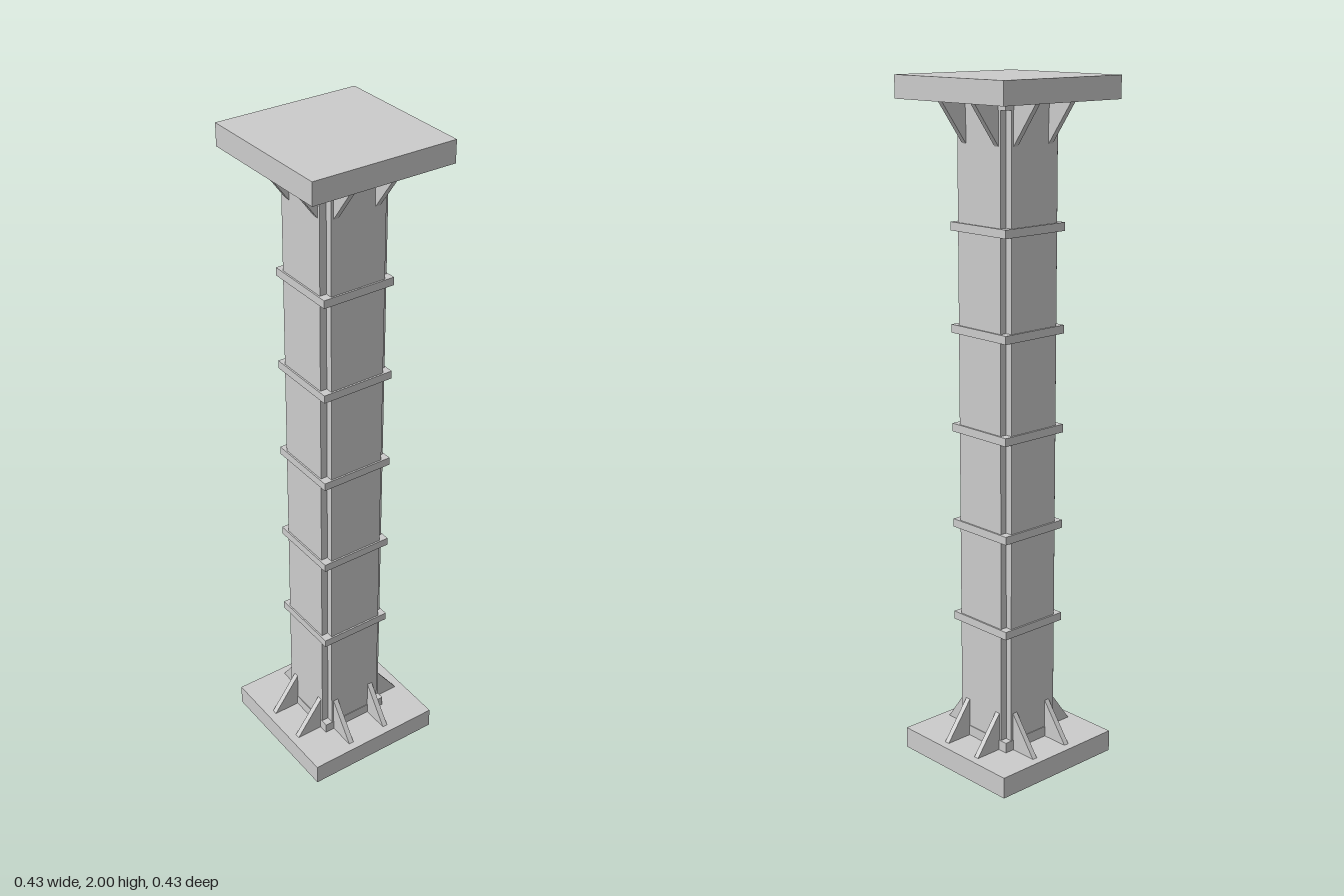
import * as THREE from 'three';

export function createModel() {
  const model = new THREE.Group();
  model.name = 'column';
  const material = new THREE.MeshStandardMaterial({ color: 0xcccccc, flatShading: true });

  function add(name, geometry, parent = model) {
    const mesh = new THREE.Mesh(geometry, material);
    mesh.name = name;
    parent.add(mesh);
    return mesh;
  }
  // Square slab centred on the axis, spanning y0 to y1
  function slab(name, half, y0, y1) {
    add(name, new THREE.BoxGeometry(half * 2, y1 - y0, half * 2)).position.y = (y0 + y1) / 2;
  }

  const plate = 0.064; // end plate thickness
  const face = 0.107; // shaft half width
  const inner = 0.086; // start of the corner notch

  // End plates and the square collars next to them
  slab('basePlate', 0.217, 0, plate);
  slab('topPlate', 0.217, 2 - plate, 2);
  slab('baseCollar', 0.109, plate, 0.095);
  slab('topCollar', 0.109, 1.915, 2 - plate);

  // Shaft with a notch along each corner
  const corner = [[face, -inner], [face, inner], [inner, inner]];
  const outline = [];
  for (let k = 0; k < 4; k++) {
    for (const [x, y] of corner) {
      outline.push(new THREE.Vector2(x, y).rotateAround(new THREE.Vector2(), k * Math.PI / 2));
    }
  }
  const shaft = new THREE.ExtrudeGeometry(new THREE.Shape(outline), { depth: 1.82, bevelEnabled: false });
  shaft.rotateX(-Math.PI / 2).translate(0, 0.095, 0);
  add('shaft', shaft);

  // Bands around the shaft
  for (let i = 0; i < 5; i++) {
    const y = 0.435 + i * 0.289;
    slab('band', 0.112, y - 0.012, y + 0.012);
  }

  // Triangular gussets, two per side at each end
  const thickness = 0.016;
  const triangle = new THREE.Shape([
    new THREE.Vector2(0.1, 0), new THREE.Vector2(0.192, 0),
    new THREE.Vector2(0.107, 0.116), new THREE.Vector2(0.1, 0.116),
  ]);
  const gusset = new THREE.ExtrudeGeometry(triangle, { depth: thickness, bevelEnabled: false });
  gusset.translate(0, 0, -thickness / 2).rotateY(-Math.PI / 2);
  const topGusset = gusset.clone().rotateZ(Math.PI);

  for (let k = 0; k < 4; k++) {
    const side = new THREE.Group();
    side.name = 'gussets';
    side.rotation.y = k * Math.PI / 2;
    model.add(side);
    const shift = k % 2 ? 0.006 : -0.006;
    for (const s of [-1, 1]) {
      const x = s * 0.065 + shift;
      add('baseGusset', gusset, side).position.set(x, plate, 0);
      add('topGusset', topGusset, side).position.set(x, 2 - plate, 0);
    }
  }
  return model;
}
